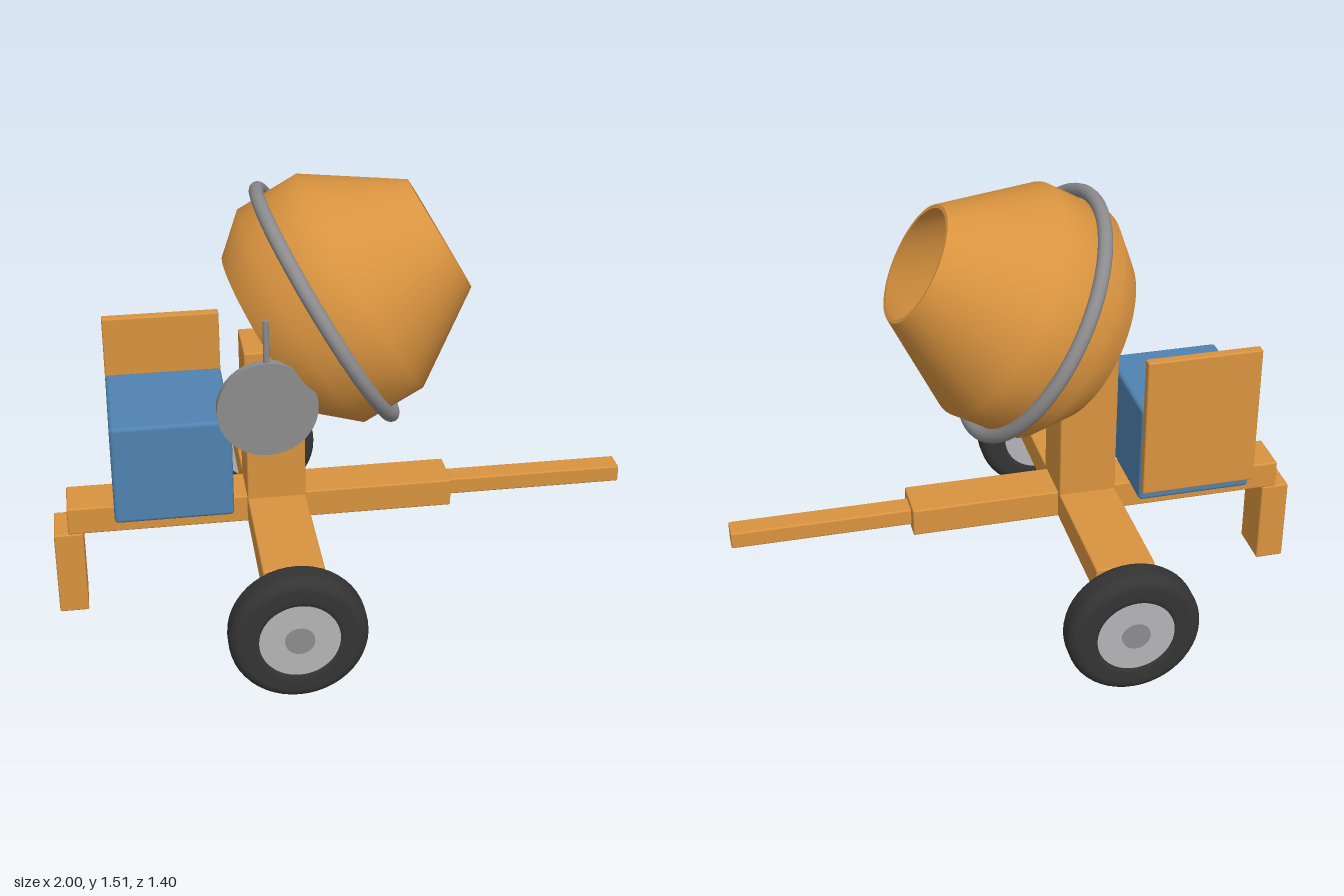
import * as THREE from 'three';
import { toCreasedNormals } from 'three/addons/utils/BufferGeometryUtils.js';
import { RoundedBoxGeometry } from 'three/addons/geometries/RoundedBoxGeometry.js';

const paint = (name, color) => {
  const m = new THREE.MeshStandardMaterial({ color });
  m.name = name;
  return m;
};

export function createModel() {
  const orange = paint('orange paint', 0xd9933f);
  const blue = paint('blue paint', 0x4f82b0);
  const rubber = paint('black rubber', 0x343434);
  const silver = paint('silver rim', 0xb4b4b6);
  const steel = paint('grey steel', 0x8c8c8e);

  const model = new THREE.Group();
  model.name = 'cementMixer';

  const add = (parent, name, geometry, material, x = 0, y = 0, z = 0) => {
    const mesh = new THREE.Mesh(geometry, material);
    mesh.name = name;
    mesh.position.set(x, y, z);
    parent.add(mesh);
    return mesh;
  };

  // Softly rounded box given by its limits on each axis
  const box = (name, material, [x0, x1], [y0, y1], [z0, z1], r = 0.006) =>
    add(model, name, new RoundedBoxGeometry(x1 - x0, y1 - y0, z1 - z0, 2, r), material,
      (x0 + x1) / 2, (y0 + y1) / 2, (z0 + z1) / 2);

  // Cylinder lying along z
  const disc = (r, depth, sides = 40) =>
    new THREE.CylinderGeometry(r, r, depth, sides).rotateX(Math.PI / 2);

  // Chassis
  box('mainBeam', orange, [-0.95, 0.38], [0.31, 0.41], [-0.08, 0.08]);
  box('towBar', orange, [0.3, 1.0], [0.33, 0.39], [-0.04, 0.04]);
  box('axleBeam', orange, [-0.335, -0.135], [0.31, 0.41], [-0.56, 0.56]);
  box('rearLeg', orange, [-1.0, -0.9], [0, 0.31], [-0.08, 0.08]);
  box('drumPost', orange, [-0.335, -0.135], [0.4, 0.96], [-0.1, 0.1]);

  // Motor housing and its guard panel
  box('motorHousing', blue, [-0.79, -0.39], [0.413, 0.77], [-0.205, 0.205], 0.014);
  box('guardPanel', orange, [-0.79, -0.39], [0.465, 0.975], [-0.245, -0.21]);

  // Drum: closed profile running up the outside and back down the inside
  const drum = new THREE.Group();
  drum.name = 'drum';
  drum.position.set(-0.05, 1.085, 0);
  drum.rotation.z = -Math.PI / 3;
  model.add(drum);
  const drumProfile = [
    [0, -0.213], [0.305, -0.213], [0.41, -0.09], [0.41, 0.135], [0.205, 0.44],
    [0.192, 0.44], [0.395, 0.13], [0.395, -0.092], [0.29, -0.2], [0, -0.2],
  ].map(([r, y]) => new THREE.Vector2(r, y));
  add(drum, 'drumShell',
    toCreasedNormals(new THREE.LatheGeometry(drumProfile, 64), 0.735), orange);
  add(drum, 'gearRing',
    new THREE.TorusGeometry(0.435, 0.024, 12, 64).rotateX(Math.PI / 2), steel);

  // Tilting wheel with its lever
  add(model, 'tiltWheel', disc(0.163, 0.03), steel, -0.285, 0.875, 0.33);
  add(model, 'tiltLever', new THREE.CylinderGeometry(0.01, 0.01, 0.305, 12), steel,
    -0.285, 1.0275, 0.33);

  // Tyre cross-section: rounded rectangle, anticlockwise from the inner edge
  const tyreProfile = [];
  const corner = 0.04;
  [[0.15, -0.02], [0.185, -0.02], [0.185, 0.02], [0.15, 0.02]].forEach(([r, y], i) => {
    for (let k = 0; k <= 6; k++) {
      const a = Math.PI + (i + k / 6) * Math.PI / 2;
      tyreProfile.push(new THREE.Vector2(r + corner * Math.cos(a), y + corner * Math.sin(a)));
    }
  });

  // Wheels
  for (const [name, side] of [['frontWheel', 1], ['backWheel', -1]]) {
    const wheel = new THREE.Group();
    wheel.name = name;
    wheel.position.set(-0.235, 0.228, side * 0.64);
    model.add(wheel);
    add(wheel, 'tyre', new THREE.LatheGeometry(tyreProfile, 48).rotateX(Math.PI / 2), rubber);
    add(wheel, 'rim', disc(0.136, 0.11), silver);
    add(wheel, 'hub', disc(0.048, 0.118, 24), steel);
  }

  return model;
}
